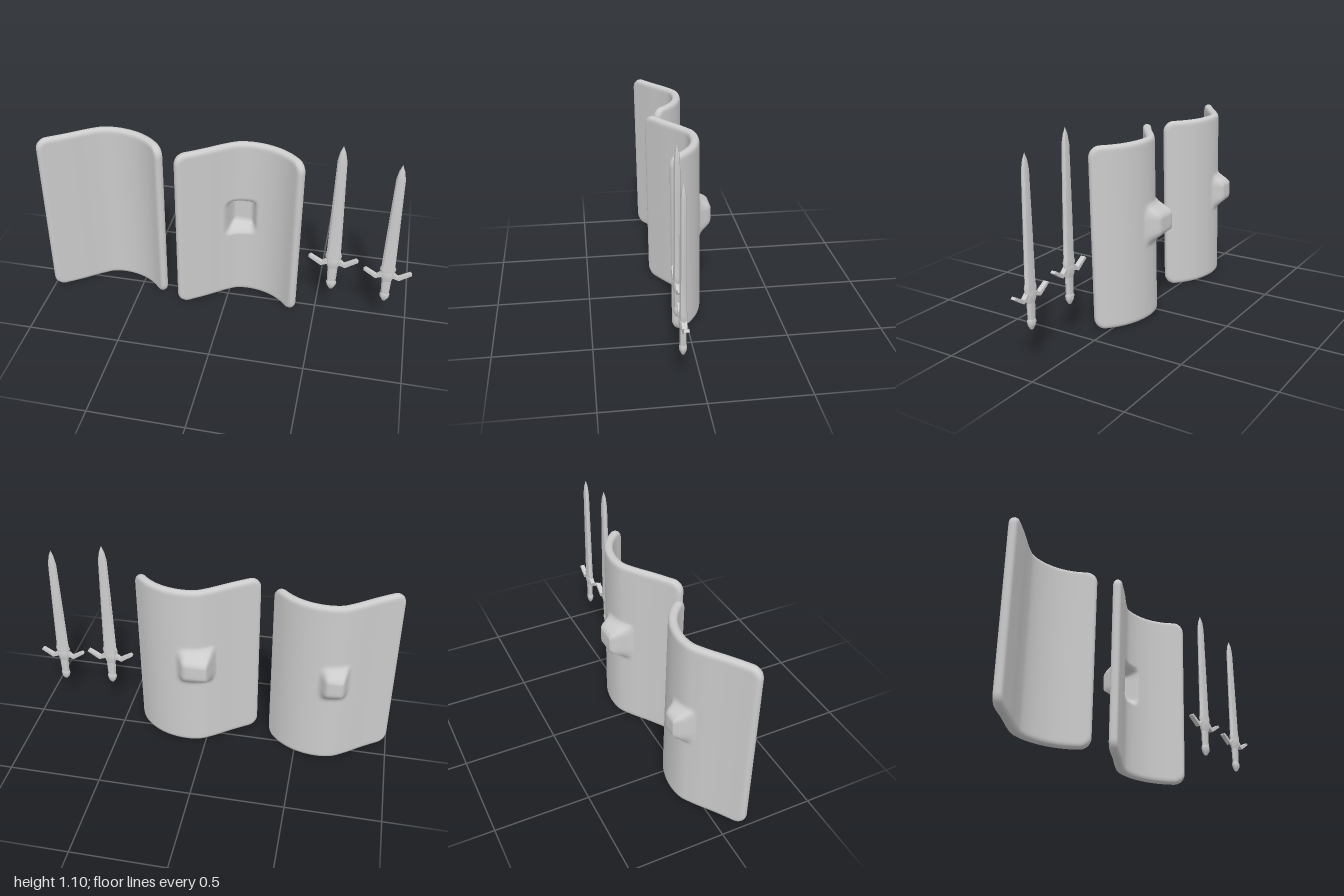
import * as THREE from 'three';
import { mergeVertices, toCreasedNormals } from 'three/addons/utils/BufferGeometryUtils.js';

const material = new THREE.MeshStandardMaterial({ color: 0xcccccc });
const { clamp, lerp, smoothstep } = THREE.MathUtils;

const W = 0.77, H = 0.976, CORNER = 0.06, HALF = 0.023, EDGE = 0.026;
const SHIELD_Y = 0.4945;

// Horizontal bend of a shield panel, from its right edge to its left edge
const bend = new THREE.CatmullRomCurve3([
  [-0.988, 0.138], [-0.86, 0.053], [-0.75, -0.027], [-0.69, -0.06], [-0.6, -0.068],
  [-0.5, -0.045], [-0.42, 0.002], [-0.342, 0.082],
].map(([x, z]) => new THREE.Vector3(x, 0, z)));

// 0 outside, 1 inside, with soft walls: a = outer start, b = full start, c = full end, d = outer end
const plateau = (v, [a, b, c, d]) => smoothstep(v, a, b) * (1 - smoothstep(v, c, d));

// Spreads grid lines evenly, but closer together toward the rims
const spread = (u) => 0.5 * u + 0.5 * Math.sin(u * Math.PI / 2);

function shieldGeometry(back, front) {
  const g = new THREE.BoxGeometry(2, 2, 2, 80, 80, 1);
  const pos = g.attributes.position;
  const p = new THREE.Vector3(), t = new THREE.Vector3();
  for (let i = 0; i < pos.count; i++) {
    const x = spread(pos.getX(i)) * W / 2, y = spread(pos.getY(i)) * H / 2, side = pos.getZ(i);
    // Round the panel corners
    const qx = clamp(x, -W / 2 + CORNER, W / 2 - CORNER);
    const qy = clamp(y, -H / 2 + CORNER, H / 2 - CORNER);
    let dx = x - qx, dy = y - qy;
    const len = Math.hypot(dx, dy), reach = Math.max(Math.abs(dx), Math.abs(dy));
    if (len > 0) { dx *= reach / len; dy *= reach / len; }
    // Thin the panel toward its rim
    const e = clamp((CORNER - reach) / EDGE, 0, 1);
    const h = side * HALF * (0.25 + 0.75 * Math.sqrt(1 - (1 - e) ** 2));
    // Bend the panel
    const u = clamp((qx + dx) / W + 0.5, 0, 1);
    bend.getPointAt(u, p);
    bend.getTangentAt(u, t);
    p.x -= t.z * h;
    p.z += t.x * h;
    p.y = qy + dy;
    // Push out the grip boss, and hollow it from the front if wanted
    const boss = side < 0 ? back : front;
    if (boss) p.z = lerp(p.z, boss.z, plateau(p.x, boss.x) * plateau(p.y + SHIELD_Y, boss.y));
    pos.setXYZ(i, p.x, p.y, p.z);
  }
  g.deleteAttribute('uv');
  g.deleteAttribute('normal');
  const smooth = mergeVertices(g, 1e-5);
  smooth.computeVertexNormals();
  return smooth;
}

function shield(name, shift, back, front) {
  const pivotX = -0.665;
  const mesh = new THREE.Mesh(shieldGeometry(back, front).translate(-pivotX, 0, 0), material);
  mesh.name = name;
  mesh.position.set(pivotX + shift, SHIELD_Y, 0);
  mesh.rotation.set(0.012, 0, -0.012);
  return mesh;
}

// Eight-sided loft through [y, half width, half thickness] sections
function loft(sections) {
  const g = new THREE.LatheGeometry(sections.map(([y, w]) => new THREE.Vector2(w, y)), 8);
  const pos = g.attributes.position;
  for (let i = 0; i < pos.count; i++) {
    const [, w, d] = sections[i % sections.length];
    pos.setZ(i, w > 0 ? pos.getZ(i) * d / w : 0);
  }
  return toCreasedNormals(g, 0.6);
}

// Upswept crossguard, mirrored about the blade
function guardGeometry() {
  const half = [[0.03, 0.418], [0.058, 0.393], [0.12, 0.43], [0.131, 0.42], [0.064, 0.374], [0.03, 0.388]];
  const outline = [...half, ...half.map(([x, y]) => [-x, y]).reverse()];
  const shape = new THREE.Shape(outline.map(([x, y]) => new THREE.Vector2(x, y)));
  return new THREE.ExtrudeGeometry(shape, { depth: 0.026, bevelEnabled: false }).translate(0, 0, -0.013);
}

function sword(name) {
  const group = new THREE.Group();
  group.name = name;
  const parts = {
    blade: loft([[0.4, 0, 0], [0.4, 0.035, 0.02], [0.44, 0.044, 0.02], [0.46, 0.037, 0.018],
      [0.7, 0.032, 0.017], [1.02, 0.024, 0.015], [1.07, 0.014, 0.01], [1.105, 0, 0]]),
    hub: loft([[0.36, 0, 0], [0.36, 0.027, 0.017], [0.385, 0.036, 0.022], [0.415, 0.036, 0.022],
      [0.43, 0.03, 0.018], [0.43, 0, 0]]),
    grip: loft([[0.26, 0, 0], [0.26, 0.022, 0.016], [0.31, 0.025, 0.017], [0.38, 0.027, 0.017], [0.38, 0, 0]]),
    pommel: loft([[0.215, 0, 0], [0.218, 0.01, 0.008], [0.24, 0.024, 0.018], [0.262, 0.028, 0.02],
      [0.275, 0.022, 0.016], [0.275, 0, 0]]),
    guard: guardGeometry(),
  };
  for (const [part, geometry] of Object.entries(parts)) {
    const mesh = new THREE.Mesh(geometry, material);
    mesh.name = part;
    group.add(mesh);
  }
  return group;
}

export function createModel() {
  const model = new THREE.Group();
  model.name = 'shieldsAndSwords';

  // Shield with a solid grip boss, and one with a hollow boss
  model.add(shield('solidBossShield', 0,
    { z: -0.147, x: [-0.755, -0.73, -0.65, -0.6], y: [0.41, 0.49, 0.57, 0.63] }));
  const shift = 0.735;
  model.add(shield('hollowBossShield', shift,
    { z: -0.156, x: [-0.045, -0.018, 0.1, 0.16].map((x) => x - shift), y: [0.41, 0.49, 0.57, 0.64] },
    { z: -0.11, x: [-0.018, 0.015, 0.11, 0.15].map((x) => x - shift), y: [0.42, 0.455, 0.595, 0.63] }));

  // Two swords, the outer one slightly shorter
  const inner = sword('innerSword');
  inner.position.set(0.583, 0, 0.085);
  const outer = sword('outerSword');
  outer.scale.setScalar(0.955);
  outer.position.set(0.87, -0.015, 0.095);
  model.add(inner, outer);
  return model;
}
